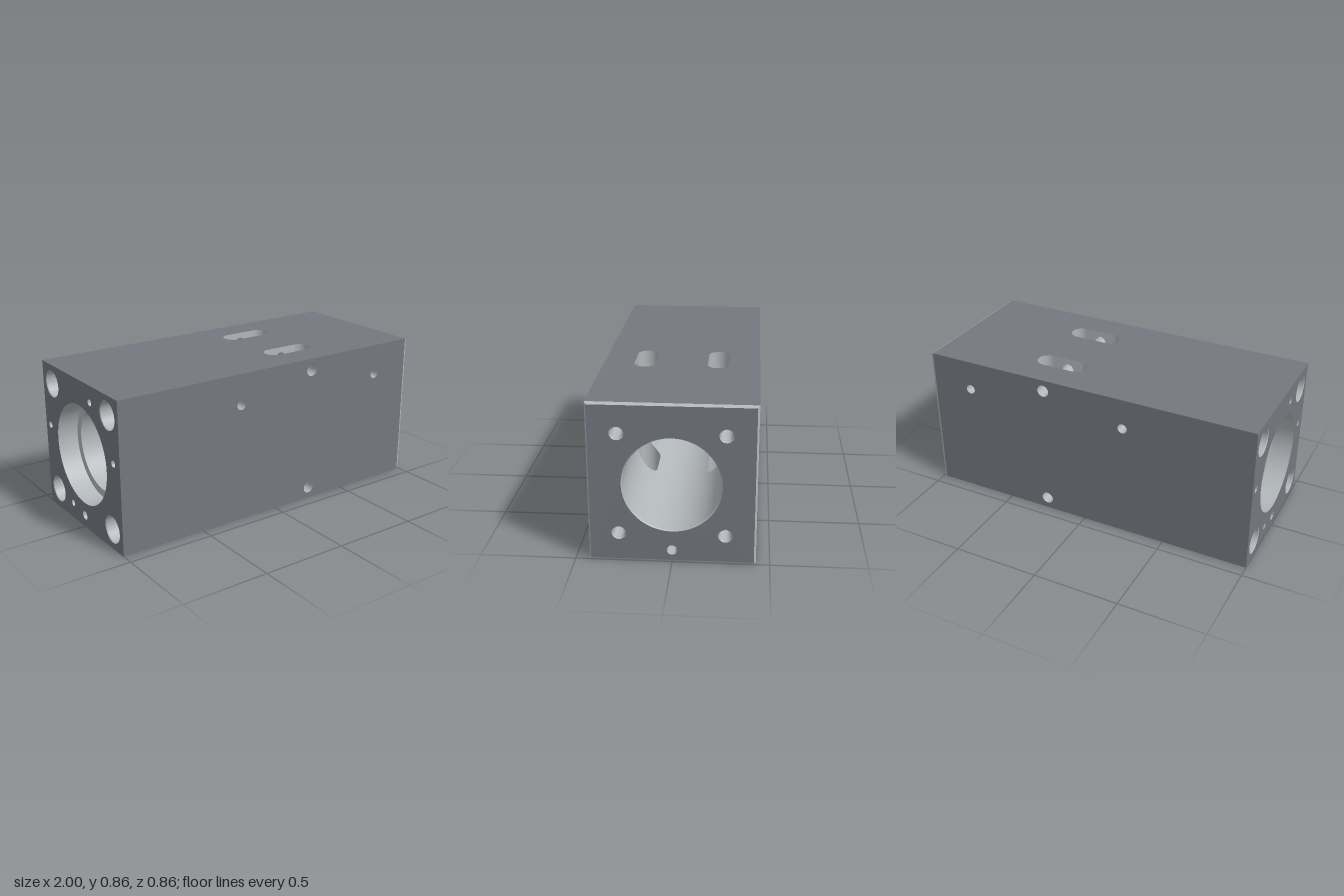
import * as THREE from 'three';
import { toCreasedNormals } from 'three/addons/utils/BufferGeometryUtils.js';

const H = 0.429, CH = 0.01, CL = 0.018;     // half height/depth, end chamfer width and length
const R = 0.25, LEDGE = -0.5, MOUTH = 0.994; // main bore radius and extent
const SX = 0.248, SZ = 0.202, SR = 0.06, SL = 0.095; // slot centre, radius, half straight length
const PIN = { y: 0.362, r: 0.035 };         // cross holes that pass through the slots
const SET = { y: 0.252, r: 0.028, xs: [-0.243, 0.737] }; // cross holes that graze the bore
const root = (v) => Math.sqrt(Math.max(0, v));

export function createModel() {
  const model = new THREE.Group();
  model.position.y = H;
  const body = new THREE.MeshStandardMaterial({ color: 0x74777f });
  const cut = new THREE.MeshStandardMaterial({ color: 0xb2b7ba });
  const cutFlat = new THREE.MeshStandardMaterial({ color: 0xb2b7ba, flatShading: true });

  const add = (name, geo, material) => {
    const mesh = new THREE.Mesh(geo, material);
    mesh.name = name;
    model.add(mesh);
    return mesh;
  };

  // Flat rectangle with round holes [u, v, r] and optional slots at v
  const plate = (name, material, [u0, u1, v0, v1], circles, pos, rot, slots = []) => {
    const shape = new THREE.Shape();
    shape.moveTo(u0, v0).lineTo(u1, v0).lineTo(u1, v1).lineTo(u0, v1).closePath();
    for (const [u, v, r] of circles) shape.holes.push(new THREE.Path().absarc(u, v, r, 0, Math.PI * 2));
    for (const v of slots) {
      const p = new THREE.Path();
      p.absarc(SX + SL, v, SR, -Math.PI / 2, Math.PI / 2);
      p.absarc(SX - SL, v, SR, Math.PI / 2, Math.PI * 1.5);
      p.closePath();
      shape.holes.push(p);
    }
    const mesh = add(name, new THREE.ShapeGeometry(shape, 32), material);
    mesh.position.set(...pos);
    mesh.rotation.set(...rot);
  };

  // Surface ruled between two curves a(t) and b(t), t from t0 to t1
  const ruled = (name, a, b, t0, t1, n = 40) => {
    const pos = [], idx = [];
    for (let i = 0; i <= n; i++) {
      const t = t0 + ((t1 - t0) * i) / n;
      pos.push(...a(t), ...b(t));
      if (i < n) idx.push(2 * i, 2 * i + 2, 2 * i + 1, 2 * i + 1, 2 * i + 2, 2 * i + 3);
    }
    const geo = new THREE.BufferGeometry();
    geo.setAttribute('position', new THREE.Float32BufferAttribute(pos, 3));
    geo.setIndex(idx);
    geo.computeVertexNormals();
    add(name, geo, cut);
  };

  // Turned recess, profile [radius, height] listed along the cut wall
  const turned = (name, profile, n, turn) => {
    const lathe = new THREE.LatheGeometry(profile.map(([r, y]) => new THREE.Vector2(r, y)), n);
    return add(name, toCreasedNormals(lathe.rotateZ(turn), 0.6), cut);
  };
  // Blind hole with a broken edge of size rim
  const pocket = (name, end, [y, z, r, depth, rim]) =>
    turned(name, [[r, 0], [r - rim, -rim], [r - rim, -depth], [0, -depth]], 32, (-end * Math.PI) / 2)
      .position.set(end, y, z);

  // Outer faces
  const L = 1 - CL;
  const side = [...SET.xs.map((x) => [x, SET.y, SET.r]), [SX, PIN.y, PIN.r], [SX, -PIN.y, PIN.r]];
  plate('frontFace', body, [-1, L, -H, H], side, [0, 0, H], [0, 0, 0]);
  plate('backFace', body, [-L, 1, -H, H], side.map(([x, y, r]) => [-x, y, r]), [0, 0, -H], [0, Math.PI, 0]);
  plate('topFace', body, [-1, L, -H, H], [], [0, H, 0], [-Math.PI / 2, 0, 0], [SZ, -SZ]);
  plate('bottomFace', body, [-1, L, -H, H], [], [0, -H, 0], [Math.PI / 2, 0, 0], [SZ, -SZ]);
  const E = H - CH;
  const chamfer = new THREE.CylinderGeometry(E * Math.SQRT2, H * Math.SQRT2, CL, 4, 1, true);
  chamfer.rotateY(Math.PI / 4).rotateZ(-Math.PI / 2).translate(1 - CL / 2, 0, 0);
  add('endChamfer', chamfer, cutFlat);

  // End faces with their blind holes, listed as [y, z, r, depth, rim]
  const corners = (y, z, ...size) =>
    [[y, z, ...size], [y, -z, ...size], [-y, z, ...size], [-y, -z, ...size]];
  const leftHoles = [...corners(0.272, 0.272, 0.037, 0.2, 0.005), [-PIN.y, 0, 0.027, 0.15, 0.001]];
  const rightHoles = [
    ...corners(0.318, 0.318, 0.078, 0.2, 0.004), [-PIN.y, 0, 0.026, 0.15, 0.001],
    ...[[0.335, 0.13], [0.07, 0.36], [0.06, -0.375], [-0.34, -0.14]].map(([y, z]) => [y, z, 0.02, 0.1, 0.001]),
  ];
  plate('leftEndFace', body, [-E, E, -E, E], [[0, 0, R + 0.006], ...leftHoles.map(([y, z, r]) => [-z, y, r])],
    [1, 0, 0], [0, Math.PI / 2, 0]);
  plate('rightEndFace', body, [-H, H, -H, H], [[0, 0, 0.285], ...rightHoles.map(([y, z, r]) => [z, y, r])],
    [-1, 0, 0], [0, -Math.PI / 2, 0]);
  for (const hole of leftHoles) pocket('leftEndHole', 1, hole);
  for (const hole of rightHoles) pocket('rightEndHole', -1, hole);

  // Stepped part of the bore (inner lip and counterbore) and the chamfered mouth
  turned('steppedBore', [[R, LEDGE], [0.178, LEDGE], [0.178, LEDGE - 0.1], [0.24, LEDGE - 0.1],
    [0.24, -0.88], [0.285, -0.88], [0.285, -1]], 96, -Math.PI / 2);
  turned('boreMouth', [[R + 0.006, 1], [R, MOUTH]], 96, -Math.PI / 2);

  // Main bore wall, opened where slots and cross holes break through
  const open = Math.acos((SZ - SR) / R);
  const arcs = [[-open, open, true], [open, Math.PI - open, false],
    [Math.PI - open, Math.PI + open, true], [Math.PI + open, 2 * Math.PI - open, false]];
  for (const [t0, t1, slotted] of arcs) {
    const cuts = (t) => {
      const y = R * Math.sin(t), z = Math.abs(R * Math.cos(t));
      const h = root(SET.r ** 2 - (y - SET.y) ** 2);
      const s = slotted ? SL + root(SR ** 2 - (z - SZ) ** 2) : 0;
      const [xa, xb] = SET.xs;
      return [LEDGE, xa - h, xa + h, SX - s, SX + s, xb - h, xb + h, MOUTH];
    };
    const edge = (i) => (t) => [cuts(t)[i], R * Math.sin(t), R * Math.cos(t)];
    for (let i = 0; i < 8; i += 2) ruled('boreWall', edge(i), edge(i + 1), t0, t1, 64);
  }

  // Slot walls
  const low = root(R ** 2 - (SZ - SR) ** 2);
  for (const s of [1, -1]) {
    for (const e of [1, -1]) {
      const at = (t, y) => {
        const z = s * SZ + SR * Math.sin(t);
        return [SX + e * SL + SR * Math.cos(t), y(root(R * R - z * z)), z];
      };
      const t0 = e > 0 ? -Math.PI / 2 : Math.PI / 2;
      ruled('slotEnd', (t) => at(t, () => -H), (t) => at(t, (b) => -b), t0, t0 + Math.PI);
      ruled('slotEnd', (t) => at(t, (b) => b), (t) => at(t, () => H), t0, t0 + Math.PI);
    }
    const turn = s > 0 ? Math.PI : 0;
    plate('slotOuterWall', cut, [-SL, SL, -H, H], [[0, PIN.y, PIN.r], [0, -PIN.y, PIN.r]],
      [SX, 0, s * (SZ + SR)], [0, turn, 0]);
    for (const v of [1, -1]) {
      plate('slotInnerWall', cut, [-SL, SL, v > 0 ? low : -H, v > 0 ? H : -low], [[0, v * PIN.y, PIN.r]],
        [SX, 0, s * (SZ - SR)], [0, Math.PI - turn, 0]);
    }
  }

  // Cross holes; zHigh and zLow may vary around the hole
  const crossHole = (name, x, y, r, zHigh, zLow) => {
    const at = (z) => (t) => {
      const py = y + r * Math.sin(t);
      return [x + r * Math.cos(t), py, z(root(R * R - py * py))];
    };
    ruled(name, at(zHigh), at(zLow), 0, 2 * Math.PI, 32);
  };
  for (const x of SET.xs) {
    crossHole('setScrewHole', x, SET.y, SET.r, () => H, (b) => b);
    crossHole('setScrewHole', x, SET.y, SET.r, (b) => -b, () => -H);
  }
  for (const y of [PIN.y, -PIN.y]) {
    for (const [hi, lo] of [[H, SZ + SR], [SZ - SR, SR - SZ], [-SZ - SR, -H]]) {
      crossHole('pinHole', SX, y, PIN.r, () => hi, () => lo);
    }
  }
  return model;
}
